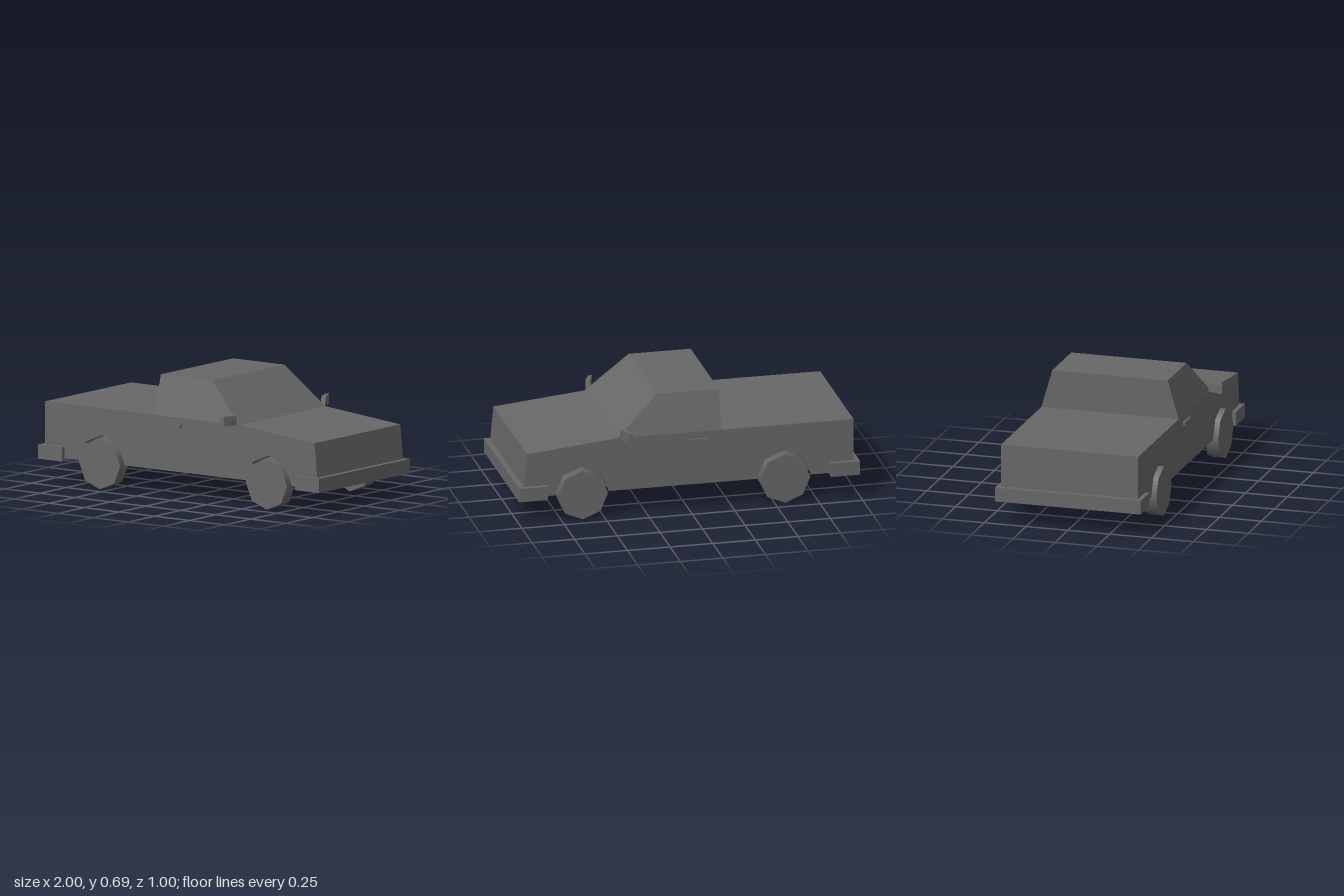
import * as THREE from 'three';

const grey = new THREE.MeshStandardMaterial({ color: 0x676767 });

const HALF = 0.41;        // half width of the body
const WELL = 0.34;        // inner wall of the wheel wells
const AXLES = [-0.56, 0.627];
const HUB = 0.147;        // hub height and wheel radius

export function createModel() {
  const model = new THREE.Group();
  model.name = 'pickupTruck';

  const add = (name, geometry, x = 0, y = 0, z = 0) => {
    const mesh = new THREE.Mesh(geometry, grey);
    mesh.name = name;
    mesh.position.set(x, y, z);
    model.add(mesh);
  };

  // Unit box whose corners are moved by a rule
  const shapedBox = (rule) => {
    const g = new THREE.BoxGeometry(1, 1, 1).toNonIndexed();
    const p = g.attributes.position;
    for (let i = 0; i < p.count; i++) p.setXYZ(i, ...rule(p.getX(i), p.getY(i), p.getZ(i)));
    g.computeVertexNormals();
    return g;
  };

  // Side profile of the body, optionally with the octagonal wheel arches
  const bodyProfile = (arches) => {
    const s = new THREE.Shape();
    s.moveTo(-0.967, 0.15);
    if (arches) {
      for (const cx of AXLES) {
        for (let i = 4; i >= 0; i--) {
          const a = (i * Math.PI) / 4;
          s.lineTo(cx + 0.16 * Math.cos(a), 0.15 + 0.16 * Math.sin(a));
        }
      }
    }
    s.lineTo(0.975, 0.15);
    s.lineTo(0.95, 0.413);
    s.lineTo(0.417, 0.465);
    s.lineTo(-0.967, 0.465);
    s.closePath();
    return s;
  };
  const extrude = (shape, depth) => new THREE.ExtrudeGeometry(shape, { depth, bevelEnabled: false });

  // Body core and the side panels with wheel arches
  add('bodyCore', extrude(bodyProfile(false), 2 * WELL), 0, 0, -WELL);
  add('leftPanel', extrude(bodyProfile(true), HALF - WELL), 0, 0, -HALF);
  add('rightPanel', extrude(bodyProfile(true), HALF - WELL), 0, 0, WELL);

  // Tapered cabin with sloping windscreen and upright back
  add('cabin', shapedBox((x, y, z) => {
    const top = y > 0;
    return [x < 0 ? -0.192 : top ? 0.172 : 0.417, top ? 0.69 : 0.465, 2 * z * (top ? 0.345 : HALF)];
  }));

  // Bumpers
  for (const [name, x] of [['frontBumper', 0.915], ['rearBumper', -0.915]]) {
    add(name, new THREE.BoxGeometry(0.17, 0.082, 0.87), x, 0.174, 0);
  }

  // Axles and eight-sided wheels
  for (const x of AXLES) {
    add('axle', new THREE.CylinderGeometry(0.038, 0.038, 0.74, 16).rotateX(Math.PI / 2), x, HUB, 0);
    for (const side of [-1, 1]) {
      add('wheel', new THREE.CylinderGeometry(HUB, HUB, 0.077, 8).rotateX(Math.PI / 2), x, HUB, side * 0.3985);
    }
  }

  for (const side of [-1, 1]) {
    // Door handle
    add('doorHandle', new THREE.BoxGeometry(0.11, 0.02, 0.03), -0.053, 0.415, side * 0.409);
    // Wing mirror, swept back, its inner end leaning outward
    add('wingMirror', shapedBox((x, y, z) => {
      const outer = side * z > 0;
      const top = y > 0;
      return [
        (outer ? 0.362 : 0.394) + x * 0.024,
        top ? 0.52 : 0.465,
        side * (outer ? 0.502 : (top ? 0.425 : 0.412) + x * 0.012),
      ];
    }));
  }

  return model;
}
